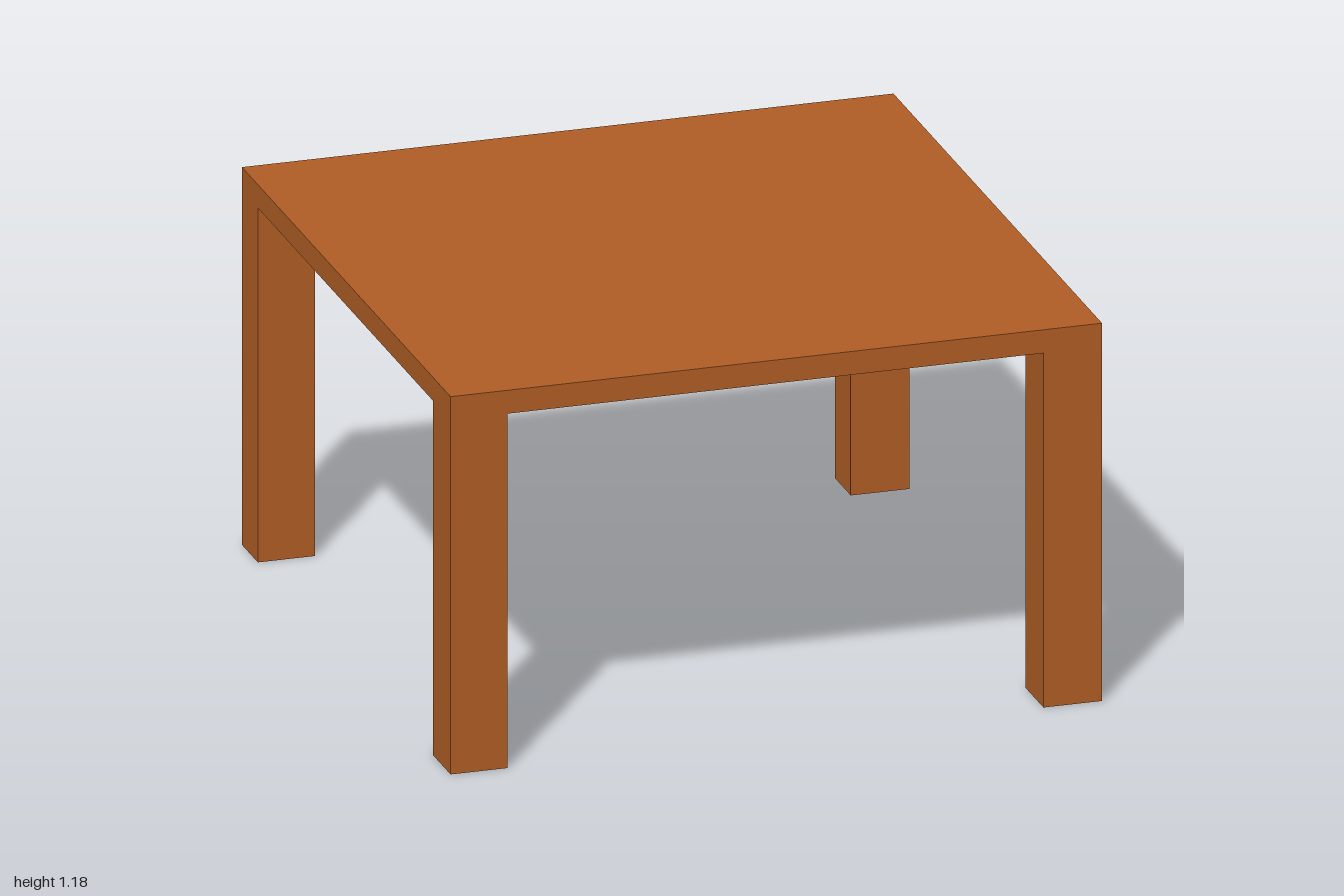
import * as THREE from 'three';

const HEIGHT = 1.18;
const UNDERSIDE = 1.107;

export function createModel() {
  const table = new THREE.Group();
  table.name = 'table';
  const wood = new THREE.MeshStandardMaterial({ color: 0xb15e25 });

  // Box given by its size and centre
  const addBox = (name, w, h, d, x, y, z) => {
    const mesh = new THREE.Mesh(new THREE.BoxGeometry(w, h, d), wood);
    mesh.name = name;
    mesh.position.set(x, y, z);
    table.add(mesh);
  };

  // Square slab
  const thickness = HEIGHT - UNDERSIDE;
  addBox('tabletop', 2, thickness, 2, 0, UNDERSIDE + thickness / 2, 0);

  // Four legs flush with the corners; the back pair is slightly shallower
  for (const [side, sx, width] of [['Left', 1, 0.18], ['Right', -1, 0.175]]) {
    for (const [end, sz, depth] of [['front', 1, 0.17], ['back', -1, 0.153]]) {
      addBox(`${end}${side}Leg`, width, UNDERSIDE, depth,
        sx * (1 - width / 2), UNDERSIDE / 2, sz * (1 - depth / 2));
    }
  }
  return table;
}
